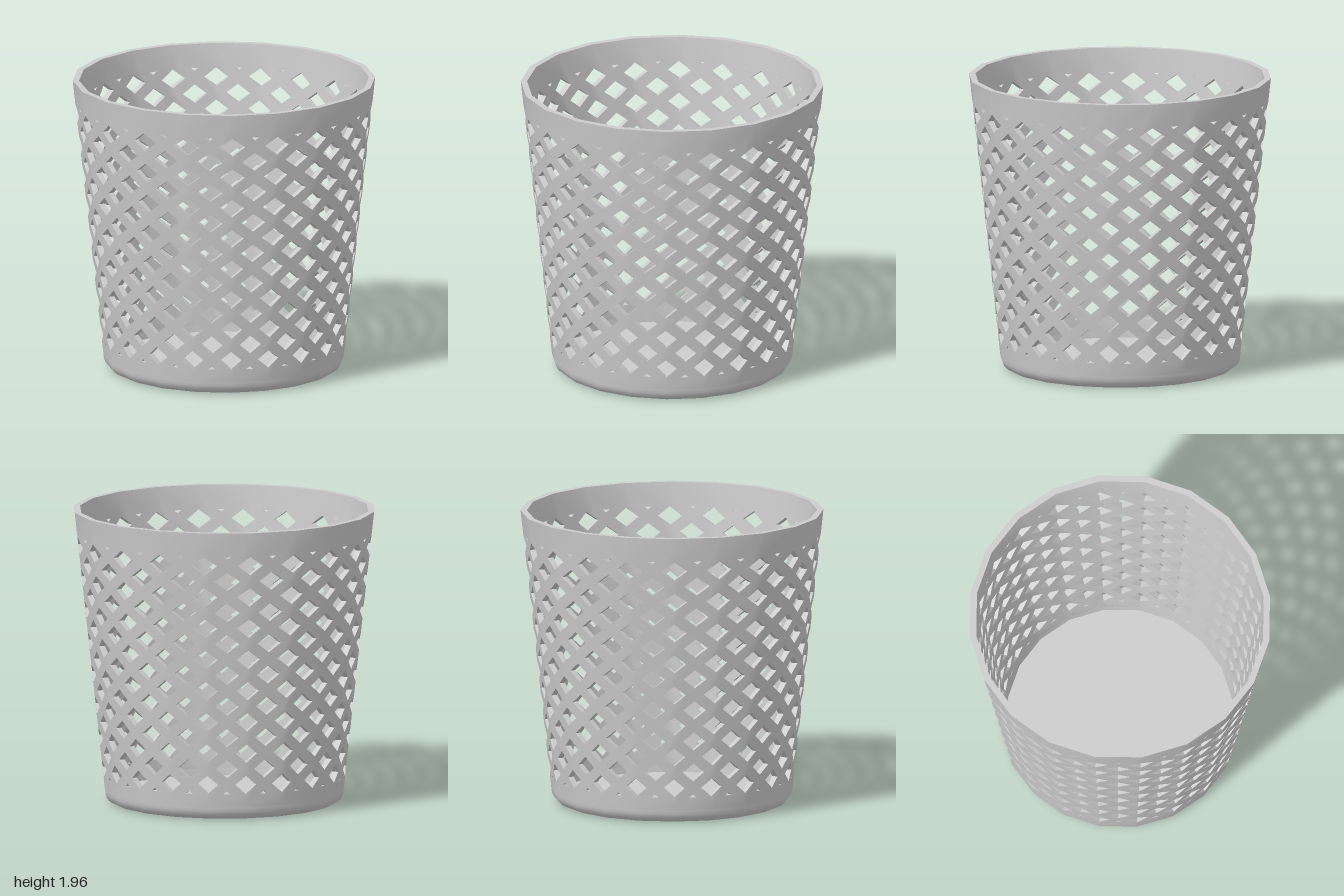
import * as THREE from 'three';
import { mergeGeometries, toCreasedNormals } from 'three/addons/utils/BufferGeometryUtils.js';

const SIDES = 20, TOP = 1.955, SEAM = 0.09, WALL = 0.042, FLOOR = 0.045;
const LOW = 0.175, HIGH = 1.795;         // limits of the pierced band
const ROWS = 8, ROW = 0.213, FIRST = 0.24; // full holes on each facet edge
const HU = 0.57, HV = 0.062;             // half width (in half facets) and half height of a hole
const radius = y => 0.787 + 0.109 * y;   // outer radius of the tapering wall

const toPoints = pts => pts.map(p => new THREE.Vector2(p[0], p[1]));

// One flat facet: u runs -1..1 across, v is the height
function facetShape() {
  const notches = [];
  for (let k = 0; k < ROWS; k++) {
    const y = FIRST + k * ROW;
    notches.push([1, y - HV], [1 - HU, y], [1, y + HV]);
  }
  const shape = new THREE.Shape(toPoints([
    [-1, SEAM], [1, SEAM], ...notches, [1, TOP], [-1, TOP],
    ...notches.slice().reverse().map(([u, v]) => [-u, v]),
  ]));
  const addHole = pts => shape.holes.push(new THREE.Path(toPoints(pts)));
  for (let k = 0; k < ROWS - 1; k++) {
    const y = FIRST + (k + 0.5) * ROW;
    addHole([[0, y - HV], [-HU, y], [0, y + HV], [HU, y]]);
  }
  // Holes cut short by the solid bands
  const tipLow = FIRST - ROW / 2 + HV, tipHigh = FIRST + (ROWS - 0.5) * ROW - HV;
  const a = HU * (tipLow - LOW) / HV, b = HU * (HIGH - tipHigh) / HV;
  addHole([[-a, LOW], [0, tipLow], [a, LOW]]);
  addHole([[-b, HIGH], [b, HIGH], [0, tipHigh]]);
  return shape;
}

// Bend the extruded facet round the basket, leaving out the hidden joints
function wallGeometry() {
  const flat = new THREE.ExtrudeGeometry(facetShape(), { depth: 1, bevelEnabled: false });
  const p = flat.attributes.position;
  const kept = [];
  for (let i = 0; i < p.count; i += 3) {
    const ids = [i, i + 1, i + 2];
    const joint = [-1, 1].some(u => ids.every(j => Math.abs(p.getX(j) - u) < 1e-4));
    const seam = ids.every(j => Math.abs(p.getY(j) - SEAM) < 1e-4);
    if (!joint && !seam) kept.push(...ids);
  }
  const step = 2 * Math.PI / SIDES;
  const out = [];
  for (let s = 0; s < SIDES; s++) {
    const a0 = s * step, a1 = (s + 1) * step;
    for (const j of kept) {
      const t = (p.getX(j) + 1) / 2, y = p.getY(j);
      const r = radius(y) - WALL * (1 - p.getZ(j));
      out.push(
        r * (Math.sin(a0) * (1 - t) + Math.sin(a1) * t), y,
        r * (Math.cos(a0) * (1 - t) + Math.cos(a1) * t));
    }
  }
  const geo = new THREE.BufferGeometry();
  geo.setAttribute('position', new THREE.Float32BufferAttribute(out, 3));
  return toCreasedNormals(geo, 0.6);
}

const lathe = points => new THREE.LatheGeometry(toPoints(points), SIDES);

// Rounded underside and the inner floor
function baseGeometry() {
  const under = [[0, 0]];
  const c = 0.08, r = radius(c);
  for (let i = 0; i <= 6; i++) {
    const a = i / 6 * Math.PI / 2;
    under.push([r - c + c * Math.sin(a), c - c * Math.cos(a)]);
  }
  under.push([radius(SEAM), SEAM]);
  const inside = [[radius(SEAM) - WALL, SEAM], [radius(FLOOR) - WALL, FLOOR], [0, FLOOR]];
  return toCreasedNormals(mergeGeometries([lathe(under), lathe(inside)]), 0.6);
}

export function createModel() {
  const group = new THREE.Group();
  group.name = 'wasteBasket';
  const material = new THREE.MeshStandardMaterial({ color: 0xcccccc });
  const add = (name, geometry) => {
    const mesh = new THREE.Mesh(geometry, material);
    mesh.name = name;
    group.add(mesh);
  };
  add('latticeWall', wallGeometry());
  add('base', baseGeometry());
  return group;
}
